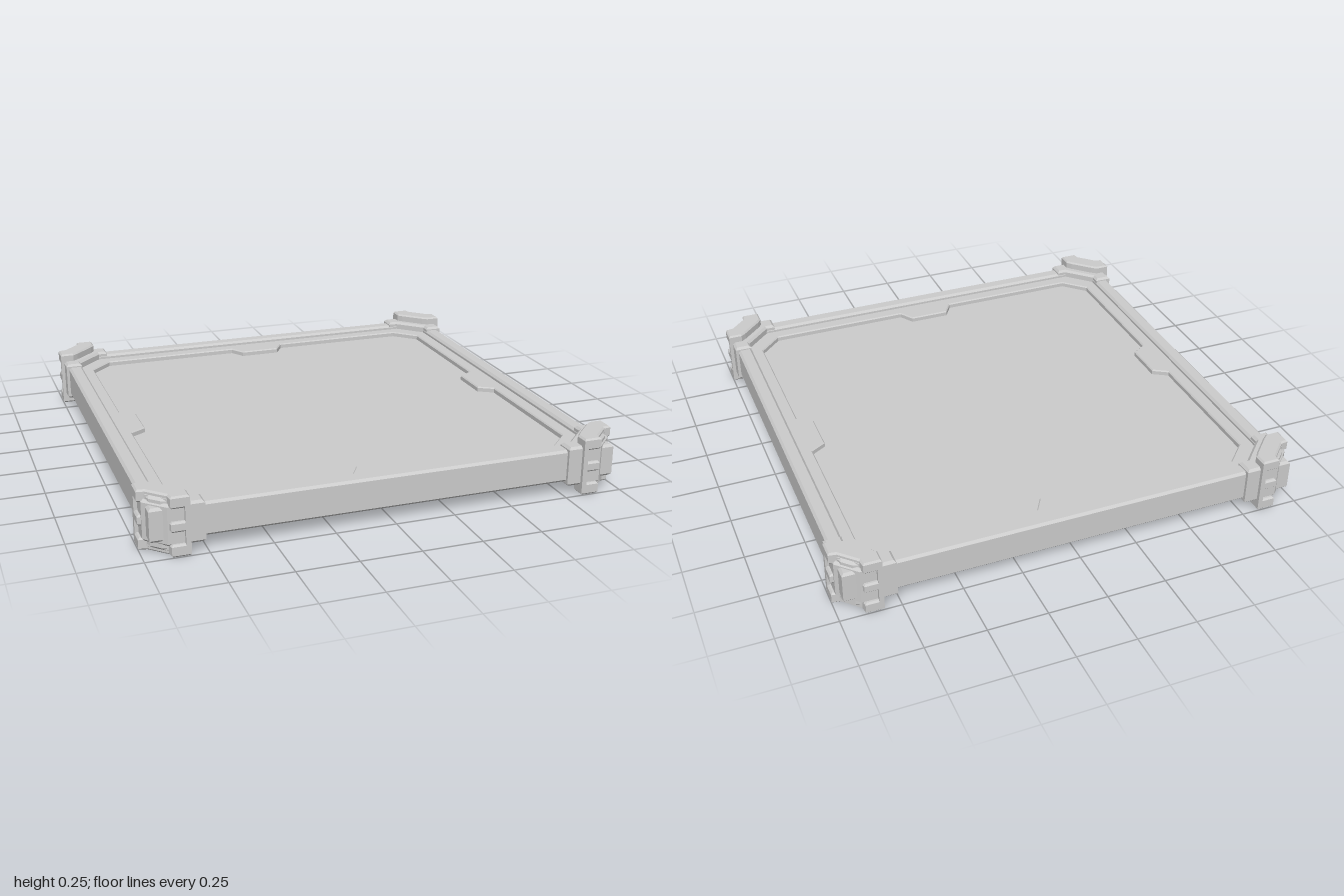
import * as THREE from 'three';

const material = new THREE.MeshStandardMaterial({ color: 0xcccccc, flatShading: true });
const toVectors = (points) => points.map(([x, z]) => new THREE.Vector2(x, z));

// Horizontal slab from a plan outline (x, z), with bevelled rims and an optional hole
function slab(name, outline, y0, y1, bevel, hole) {
  const shape = new THREE.Shape(toVectors(outline));
  if (hole) shape.holes.push(new THREE.Path(toVectors(hole)));
  const geometry = new THREE.ExtrudeGeometry(shape, {
    depth: y1 - y0 - 2 * bevel,
    bevelEnabled: bevel > 0,
    bevelThickness: bevel,
    bevelSize: bevel,
    bevelOffset: -bevel,
    bevelSegments: 1,
  });
  geometry.rotateX(Math.PI / 2).translate(0, y1 - bevel, 0);
  const mesh = new THREE.Mesh(geometry, material);
  mesh.name = name;
  return mesh;
}

// Repeats a run of points in all four quarter turns
function fourFold(points) {
  const result = [];
  let run = points;
  for (let i = 0; i < 4; i++) {
    result.push(...run);
    run = run.map(([x, z]) => [-z, x]);
  }
  return result;
}

// Completes an outline that is symmetric about the x = z diagonal
const mirrorDiagonal = (half) => [...half, ...half.map(([x, z]) => [z, x]).reverse()];

// One corner clamp, at +x +z
function createCorner() {
  const corner = new THREE.Group();
  corner.name = 'cornerClamp';

  // Collar gripping the two rails
  corner.add(slab('collar', mirrorDiagonal([
    [0.80, 0.91], [0.76, 0.91], [0.76, 0.985], [0.905, 0.985],
  ].reverse()), 0.04, 0.21, 0.01));

  // Solid core whose faces show between the ribs
  corner.add(slab('clampCore', mirrorDiagonal([
    [0.895, 0.975], [0.825, 0.975], [0.825, 0.94], [0.84, 0.92],
  ]), 0.01, 0.235, 0.008));

  // Top, middle and bottom ribs
  const rib = mirrorDiagonal([
    [0.90, 0.968], [0.895, 1], [0.82, 1], [0.82, 0.94], [0.838, 0.917],
  ]);
  for (const [y0, y1] of [[0, 0.05], [0.1, 0.142], [0.195, 0.245]]) {
    corner.add(slab('rib', rib, y0, y1, 0.007));
  }

  // Upright joining the ribs at the end of each arm
  const end = [[0.82, 0.95], [0.84, 0.95], [0.84, 1], [0.82, 1]];
  corner.add(slab('armEnd', end, 0.005, 0.24, 0.004));
  corner.add(slab('armEnd', end.map(([x, z]) => [z, x]), 0.005, 0.24, 0.004));

  // Bevelled plate across the outer diagonal
  corner.add(slab('diagonalPlate', [
    [0.90, 0.9], [0.968, 0.90], [0.96, 0.923], [0.923, 0.96], [0.90, 0.968],
  ], 0.015, 0.23, 0.012));
  return corner;
}

export function createModel() {
  const model = new THREE.Group();
  model.name = 'floorTile';

  // Thin floor panel
  const panel = new THREE.Mesh(new THREE.BoxGeometry(1.8, 0.055, 1.8), material);
  panel.name = 'panel';
  panel.position.y = 0.125;
  model.add(panel);

  // Frame with clipped corners and a tab in the middle of each side
  model.add(slab('innerFrame',
    fourFold([[0.93, 0.93]]), 0.075, 0.175, 0.005,
    fourFold([
      [0.855, -0.76], [0.855, -0.13], [0.79, -0.09],
      [0.79, 0.09], [0.855, 0.13], [0.855, 0.76],
    ])));

  // Raised outer rails
  model.add(slab('rails', fourFold([[0.972, 0.972]]), 0.057, 0.195, 0.01,
    fourFold([[0.908, 0.908]])));

  // Four corner clamps
  for (let i = 0; i < 4; i++) {
    const corner = createCorner();
    corner.rotation.y = i * Math.PI / 2;
    model.add(corner);
  }
  return model;
}
